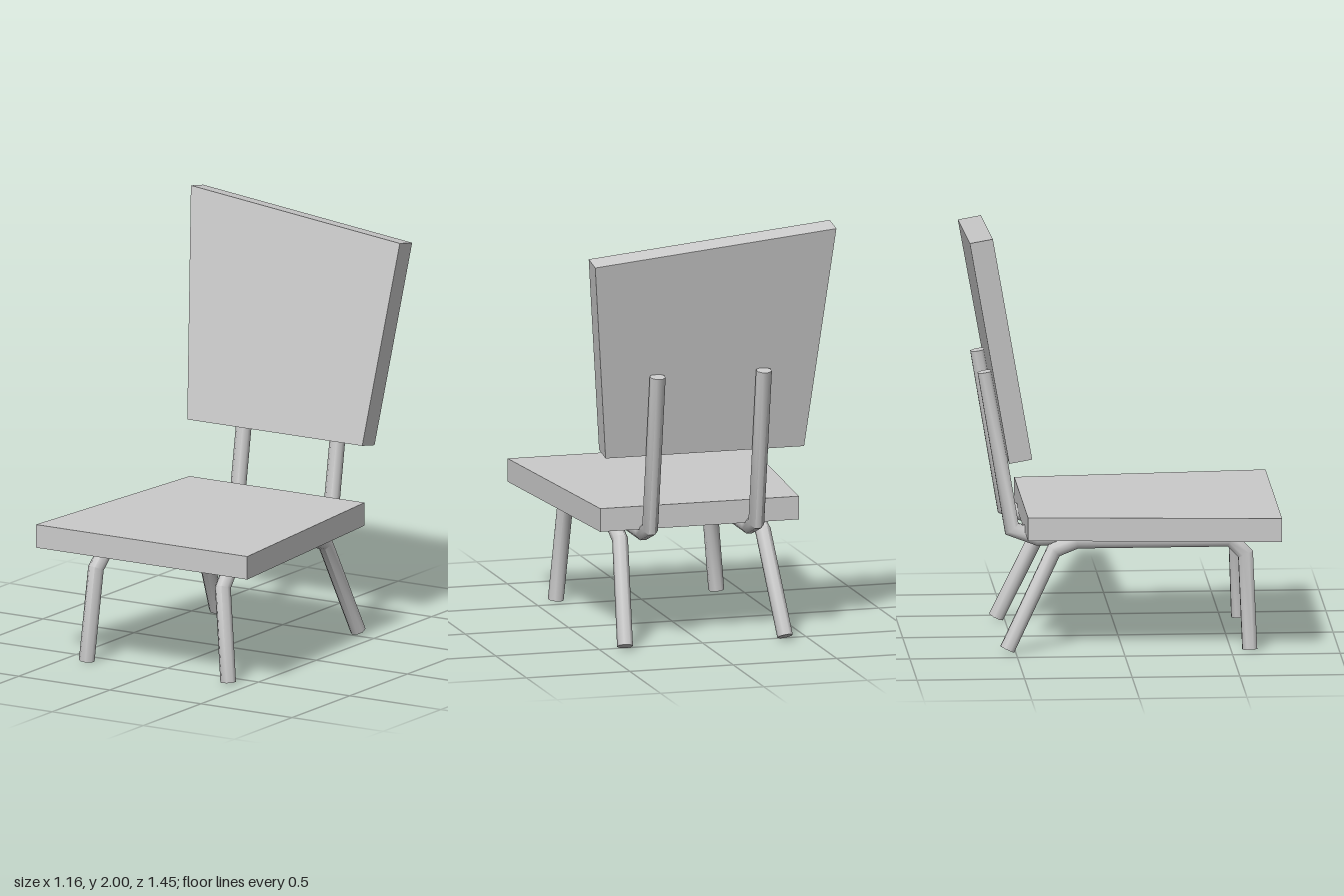
import * as THREE from 'three';
import { toCreasedNormals } from 'three/addons/utils/BufferGeometryUtils.js';

const material = new THREE.MeshStandardMaterial({ color: 0xcccccc });
const panelMaterial = new THREE.MeshStandardMaterial({ color: 0xcccccc, flatShading: true });

// A box whose corners are placed by a rule taking the sign on each axis
function panel(name, rule) {
  const geometry = new THREE.BoxGeometry(2, 2, 2);
  const p = geometry.attributes.position;
  for (let i = 0; i < p.count; i++) {
    p.setXYZ(i, ...rule(Math.sign(p.getX(i)), Math.sign(p.getY(i)), Math.sign(p.getZ(i))));
  }
  geometry.computeVertexNormals();
  const mesh = new THREE.Mesh(geometry, panelMaterial);
  mesh.name = name;
  return mesh;
}

// A capped tube with mitred bends along a path lying in the plane normal to side
function bentTube(name, points, side, radius = 0.037, sides = 8) {
  const positions = [];
  const index = [];
  const dirs = points.slice(1).map((p, i) => p.clone().sub(points[i]).normalize());
  points.forEach((point, i) => {
    const before = dirs[Math.max(i - 1, 0)];
    const after = dirs[Math.min(i, dirs.length - 1)];
    const tangent = before.clone().add(after).normalize();
    const normal = tangent.clone().cross(side).divideScalar(tangent.dot(after));
    for (let j = 0; j < sides; j++) {
      const a = ((j + 0.5) / sides) * Math.PI * 2;
      const v = point.clone()
        .addScaledVector(side, radius * Math.cos(a))
        .addScaledVector(normal, radius * Math.sin(a));
      positions.push(v.x, v.y, v.z);
      if (i < points.length - 1) {
        const p0 = i * sides + j;
        const p1 = i * sides + ((j + 1) % sides);
        index.push(p0, p1, p0 + sides, p1, p1 + sides, p0 + sides);
      }
    }
  });
  // End caps
  const last = (points.length - 1) * sides;
  for (let j = 1; j < sides - 1; j++) {
    index.push(0, j + 1, j, last, last + j, last + j + 1);
  }
  const geometry = new THREE.BufferGeometry();
  geometry.setAttribute('position', new THREE.Float32BufferAttribute(positions, 3));
  geometry.setIndex(index);
  const mesh = new THREE.Mesh(toCreasedNormals(geometry, 0.95), material);
  mesh.name = name;
  return mesh;
}

export function createModel() {
  const chair = new THREE.Group();
  chair.name = 'chair';

  // Seat, narrowing towards the back
  chair.add(panel('seat', (x, y, z) => [
    x * (z > 0 ? 0.58 : 0.48),
    y > 0 ? 0.66 : 0.55,
    z > 0 ? 0.725 : -0.45,
  ]));

  // Leaning backrest, widening upwards, with a sloping top edge
  chair.add(panel('backrest', (x, y, z) => {
    const height = y < 0 ? 0.935 : x < 0 ? 2 : 1.88;
    const lean = -0.43 - (height - 0.935) * 0.178;
    return [
      x * (y > 0 ? 0.58 : 0.48),
      height - (z < 0 ? 0.019 : 0),
      lean - (z < 0 ? 0.107 : 0),
    ];
  }));

  // Paths as [z, y] pairs
  const legPath = [[0.587, 0.007], [0.57, 0.45], [0.5, 0.52], [-0.215, 0.52], [-0.32, 0.478], [-0.54, 0.02]];
  const supportPath = [[-0.14, 0.52], [-0.39, 0.52], [-0.51, 0.565], [-0.635, 1.31]];
  const splay = 0.09;

  for (const s of [1, -1]) {
    const label = s > 0 ? 'left' : 'right';
    // Front leg, seat rail and rear leg in one bent tube, splayed outwards
    chair.add(bentTube(
      label + 'LegFrame',
      legPath.map(([z, y]) => new THREE.Vector3(s * (0.342 + (0.52 - y) * splay), y, z)),
      new THREE.Vector3(1, s * splay, 0).normalize(),
    ));
    // Upright carrying the backrest
    chair.add(bentTube(
      label + 'BackSupport',
      supportPath.map(([z, y]) => new THREE.Vector3(s * 0.257, y, z)),
      new THREE.Vector3(1, 0, 0),
    ));
  }
  return chair;
}
